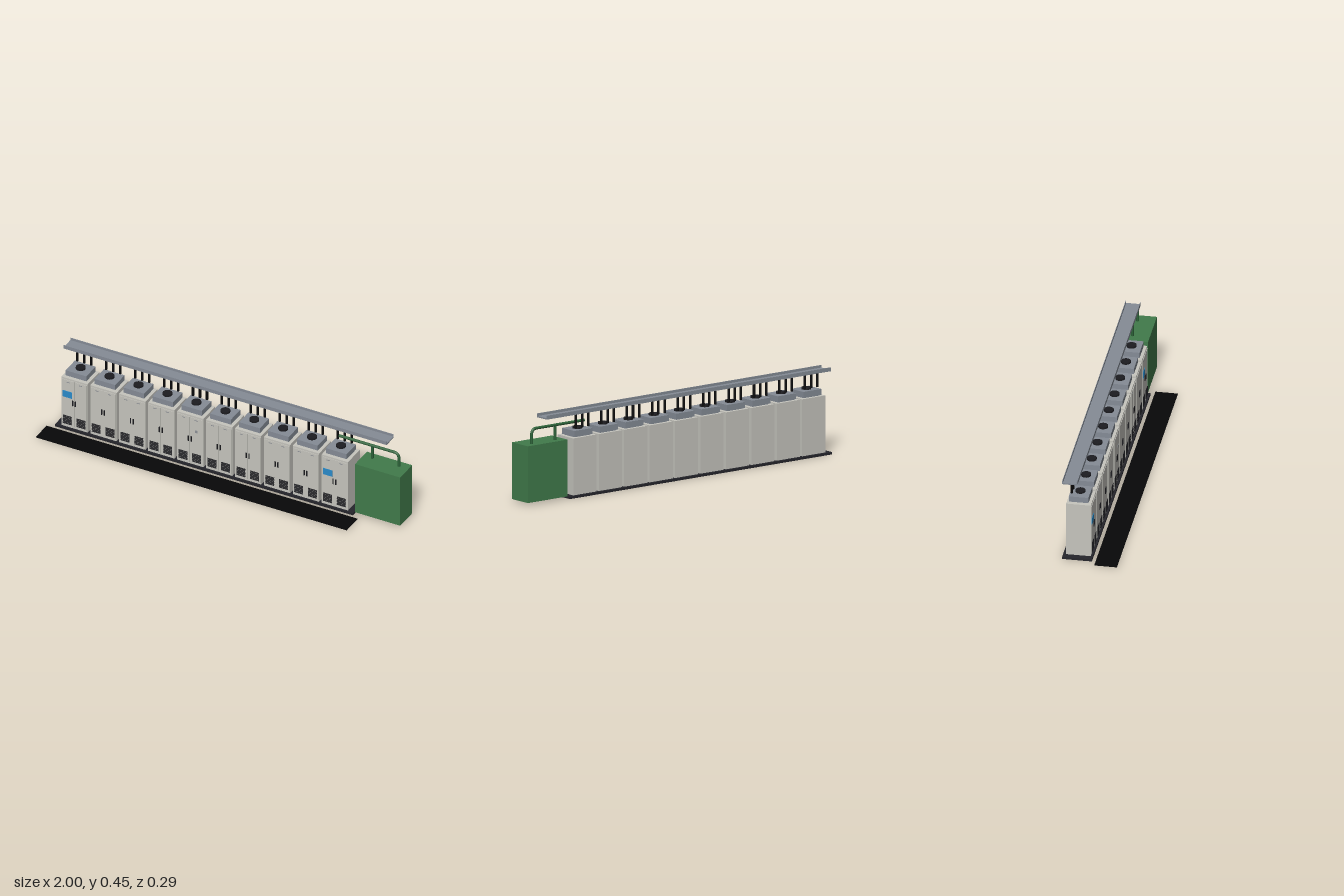
import * as THREE from 'three';

const mat = (name, color) => {
  const m = new THREE.MeshStandardMaterial({ color });
  m.name = name;
  return m;
};

export function createModel() {
  const M = {
    cabinet: mat('cabinet grey', 0xc6c5be),
    steel: mat('steel grey', 0x858c96),
    plinth: mat('plinth charcoal', 0x25252b),
    black: mat('rubber black', 0x070708),
    dark: mat('vent dark', 0x1c1c20),
    green: mat('transformer green', 0x417b4b),
    pipe: mat('pipe green', 0x2c6238),
    blue: mat('display blue', 0x2a8ccb),
    plate: mat('label grey', 0x8d9096),
  };
  const root = new THREE.Group();
  root.name = 'switchgearLineup';

  const add = (parent, name, geo, material, x = 0, y = 0, z = 0) => {
    const m = new THREE.Mesh(geo, material);
    m.name = name;
    m.position.set(x, y, z);
    parent.add(m);
    return m;
  };
  // Box given by its limits on each axis
  const box = (parent, name, material, x0, x1, y0, y1, z0, z1) =>
    add(parent, name, new THREE.BoxGeometry(x1 - x0, y1 - y0, z1 - z0), material,
      (x0 + x1) / 2, (y0 + y1) / 2, (z0 + z1) / 2);

  // Floor mat and plinth
  box(root, 'floorMat', M.black, -1, 0.773, 0, 0.003, 0.03, 0.145);
  box(root, 'plinth', M.plinth, -0.963, 0.737, 0, 0.012, -0.141, 0.011);

  // One cabinet with doors, louvres, roof vent and cables
  const makeCabinet = (index) => {
    const g = new THREE.Group();
    g.name = 'cabinet' + (index + 1);
    box(g, 'cabinetBody', M.cabinet, -0.075, 0.075, 0.012, 0.305, -0.126, 0);

    for (const s of [-1, 1]) {
      const c = s * 0.036;
      box(g, 'door', M.cabinet, c - 0.0345, c + 0.0345, 0.022, 0.295, 0, 0.003);
      box(g, 'doorHandle', M.dark, s * 0.008 - 0.003, s * 0.008 + 0.003, 0.15, 0.181, 0.003, 0.007);
      box(g, 'doorLabel', M.plate, c - 0.009, c + 0.009, 0.281, 0.285, 0.003, 0.004);
      // Louvre slats
      for (let i = 0; i < 6; i++) {
        const slat = add(g, 'louvreSlat', new THREE.BoxGeometry(0.05, 0.0065, 0.002),
          M.dark, s * 0.039, 0.034 + i * 0.0087, 0.0043);
        slat.rotation.x = -0.35;
      }
    }

    // Roof vent
    box(g, 'ventNeck', M.steel, -0.052, 0.052, 0.305, 0.309, -0.108, -0.022);
    box(g, 'ventHood', M.steel, -0.059, 0.059, 0.309, 0.339, -0.115, -0.015);
    add(g, 'ventFan', new THREE.CylinderGeometry(0.025, 0.025, 0.01, 24), M.dark, 0, 0.344, -0.066);

    // Cables rising to the tray
    for (const x of [-0.04, 0, 0.04]) {
      add(g, 'cable', new THREE.CylinderGeometry(0.0065, 0.0065, 0.08, 12), M.black, x, 0.39, -0.104);
    }
    return g;
  };

  for (let i = 0; i < 10; i++) {
    const cab = makeCabinet(i);
    cab.position.x = -0.857 + i * 0.165;
    root.add(cab);
    // Display panels on the end cabinets, small meter on the fifth
    if (i === 0 || i === 9) box(cab, 'displayPanel', M.blue, -0.066, -0.012, 0.192, 0.229, 0.003, 0.0055);
    if (i === 4) box(cab, 'meter', M.plate, 0.03, 0.044, 0.21, 0.224, 0.003, 0.0055);
  }

  // Overhead cable tray with raised lips
  const tray = new THREE.Group();
  tray.name = 'cableTray';
  root.add(tray);
  box(tray, 'trayFloor', M.steel, -0.955, 0.888, 0.429, 0.436, -0.142, -0.065);
  box(tray, 'trayLip', M.steel, -0.955, 0.888, 0.436, 0.449, -0.142, -0.139);
  box(tray, 'trayLip', M.steel, -0.955, 0.888, 0.436, 0.449, -0.068, -0.065);

  // Transformer tank and its pipework
  box(root, 'transformerTank', M.green, 0.742, 1, 0.013, 0.305, -0.129, -0.002);
  const V = (x, y) => new THREE.Vector3(x, y, -0.091);
  const path = new THREE.CurvePath();
  path.add(new THREE.LineCurve3(V(0.605, 0.381), V(0.915, 0.381)));
  path.add(new THREE.QuadraticBezierCurve3(V(0.915, 0.381), V(0.945, 0.381), V(0.945, 0.351)));
  path.add(new THREE.LineCurve3(V(0.945, 0.351), V(0.945, 0.3)));
  add(root, 'mainPipe', new THREE.TubeGeometry(path, 80, 0.0075, 12), M.pipe);
  const cap = add(root, 'pipeEnd', new THREE.CircleGeometry(0.0075, 12), M.pipe, 0.605, 0.381, -0.091);
  cap.rotation.y = -Math.PI / 2;
  add(root, 'branchPipe', new THREE.CylinderGeometry(0.0075, 0.0075, 0.081, 12), M.pipe, 0.793, 0.3405, -0.091);

  return root;
}
